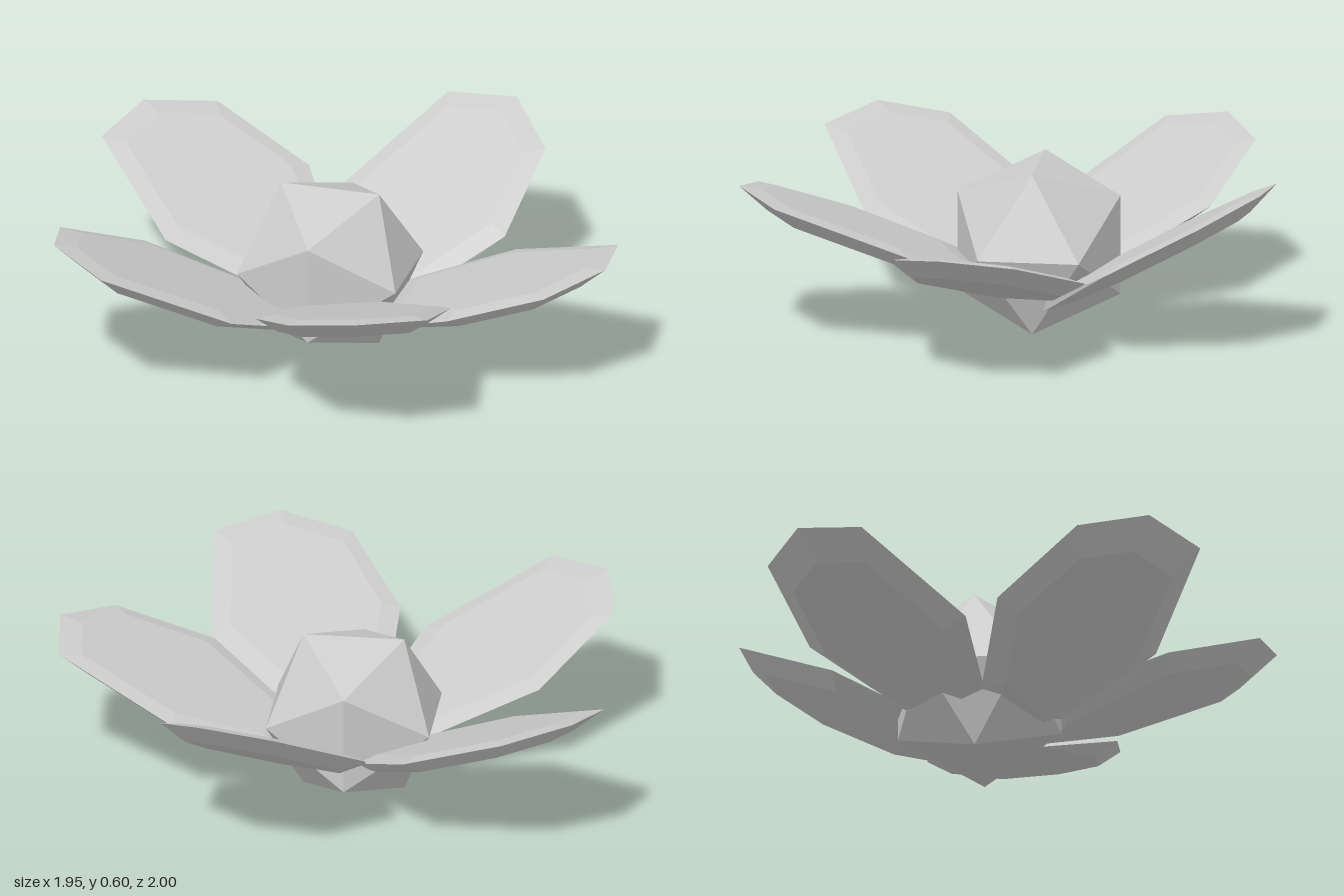
import * as THREE from 'three';
import { ConvexGeometry } from 'three/addons/geometries/ConvexGeometry.js';

const material = new THREE.MeshStandardMaterial({ color: 0xcccccc, flatShading: true });

// Each petal: rim outline in x, z, the tilted plane y = a + b*x + c*z it lies on,
// and the low corners (x, y, z) of its root
const petals = [
  { name: 'backPetal', plane: [0.112, 0.1, -0.43],
    rim: [[-0.08, -0.1], [-0.28, -0.5], [-0.17, -0.95], [0.07, -1], [0.3, -0.87], [0.395, -0.505], [0.2, -0.1]],
    root: [[0, 0.12, -0.1], [0.14, 0.12, -0.1]] },
  { name: 'leftPetal', plane: [0.055, 0.544, -0.173],
    rim: [[0.15, -0.14], [0.41, -0.355], [0.86, -0.3], [0.975, -0.07], [0.89, 0.17], [0.58, 0.3], [0.22, 0.18]],
    root: [[0.2, 0.1, 0.17], [0.15, 0.14, 0]] },
  { name: 'frontLeftPetal', plane: [0.107, 0.13, 0.33],
    rim: [[0.28, 0.1], [0.56, 0.38], [0.62, 0.84], [0.415, 1], [0.16, 0.96], [-0.04, 0.68], [0.02, 0.25]],
    root: [[-0.04, 0.145, 0.25], [0.07, 0.143, 0.25], [0.2, 0.145, 0.18]] },
  { name: 'frontRightPetal', plane: [0.15, -0.225, 0.315],
    rim: [[0.05, 0.28], [0, 0.66], [-0.37, 0.945], [-0.61, 0.845], [-0.715, 0.61], [-0.57, 0.28], [-0.25, 0.08]],
    root: [[-0.04, 0.155, 0.25], [-0.2, 0.15, 0.18]] },
  { name: 'rightPetal', plane: [0.099, -0.42, -0.164],
    rim: [[-0.1, 0.13], [-0.59, 0.18], [-0.975, -0.07], [-0.955, -0.335], [-0.77, -0.505], [-0.4, -0.475], [-0.12, -0.2]],
    root: [[-0.12, 0.12, 0.1], [-0.12, 0.14, -0.1]] },
];

// Faceted lens: sharp rim, shallow bevelled top, deeper bevelled underside
function makePetal({ name, plane: [a, b, c], rim, root }) {
  const cx = rim.reduce((sum, p) => sum + p[0], 0) / rim.length;
  const cz = rim.reduce((sum, p) => sum + p[1], 0) / rim.length;
  const points = root.map((p) => new THREE.Vector3(...p));
  for (const [scale, lift] of [[1, 0], [0.8, 0.015], [0.76, -0.053]]) {
    for (const [px, pz] of rim) {
      const x = cx + (px - cx) * scale;
      const z = cz + (pz - cz) * scale;
      points.push(new THREE.Vector3(x, a + b * x + c * z + lift, z));
    }
  }
  const mesh = new THREE.Mesh(new ConvexGeometry(points), material);
  mesh.name = name;
  return mesh;
}

export function createModel() {
  const group = new THREE.Group();
  group.name = 'flower';

  // Faceted centre with one vertex pointing straight forward
  const geometry = new THREE.IcosahedronGeometry(0.335, 0);
  geometry.rotateX(Math.atan(2 / (1 + Math.sqrt(5))));
  geometry.rotateZ(Math.PI / 2);
  const centre = new THREE.Mesh(geometry, material);
  centre.name = 'flowerCentre';
  centre.position.set(0.038, 0.286, -0.003);
  group.add(centre);

  for (const petal of petals) group.add(makePetal(petal));
  return group;
}
